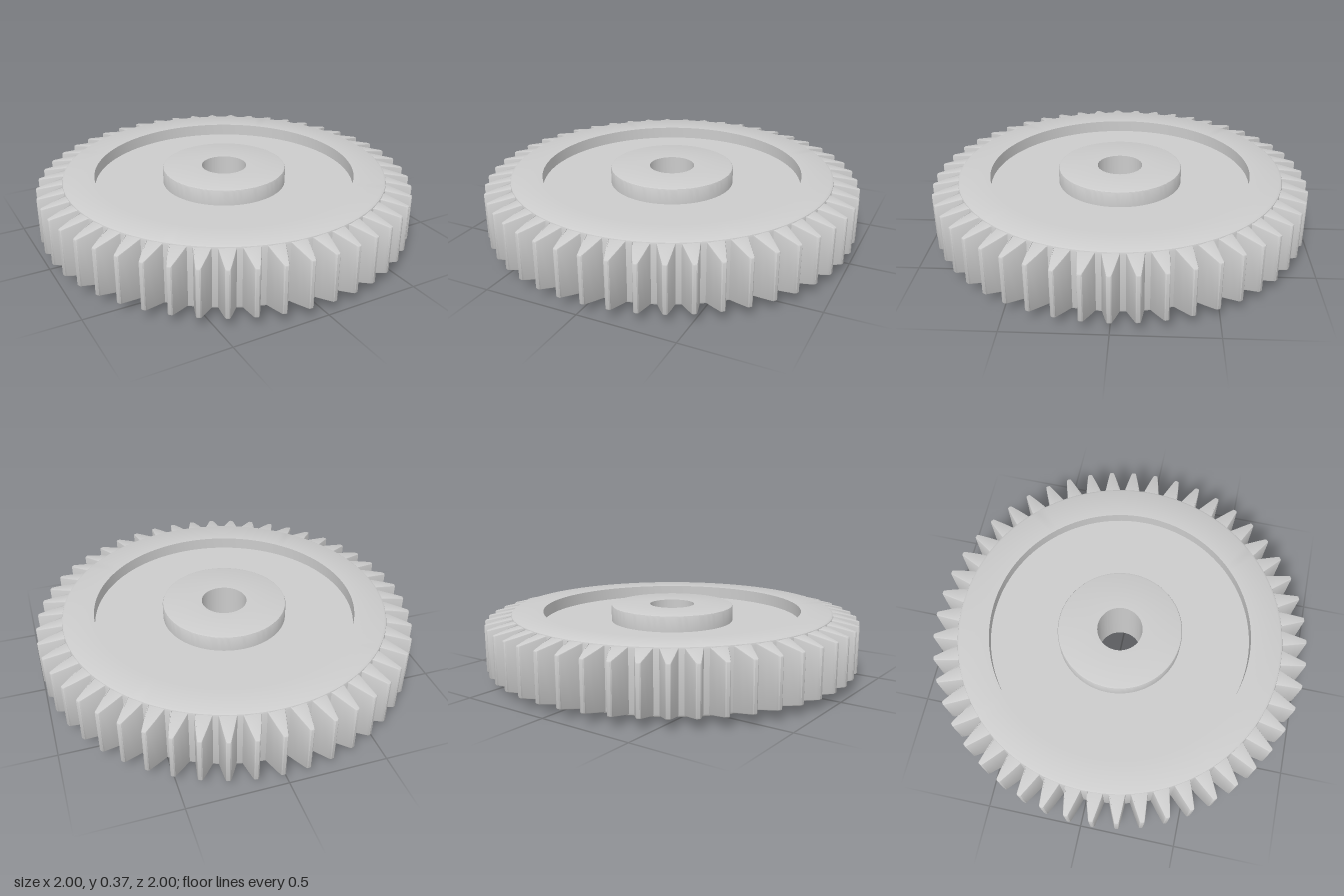
import * as THREE from 'three';
import { toCreasedNormals } from 'three/addons/utils/BufferGeometryUtils.js';

const MID = 0.185; // height of the gear's mirror plane
const TEETH = 49;

// Profile of the upper half as [radius, height above the mid plane], rim to bore
const HALF_PROFILE = [
  [0.865, 0.148], [0.861, 0.158], [0.85, 0.165],  // rounded rim edge
  [0.695, 0.165], [0.695, 0.1],                   // rim wall down to the web
  [0.33, 0.1], [0.33, 0.175], [0.327, 0.182], [0.32, 0.185], // hub
  [0.12, 0.185],                                  // bore edge
];

function createBody() {
  const upper = HALF_PROFILE.map(([r, h]) => new THREE.Vector2(r, MID + h));
  const lower = HALF_PROFILE.map(([r, h]) => new THREE.Vector2(r, MID - h)).reverse();
  const profile = [...lower, ...upper, lower[0].clone()];
  return toCreasedNormals(new THREE.LatheGeometry(profile, 128), 0.6);
}

// One tooth along +x: a tapered plan, extruded upwards, with ends sloping towards the tip
function createTooth() {
  const side = [[0.84, 0.046], [0.87, 0.041], [0.93, 0.028], [0.985, 0.015], [0.996, 0.012], [1.0, 0.007]];
  const outline = [
    ...side.map(([r, w]) => new THREE.Vector2(r, -w)),
    ...side.map(([r, w]) => new THREE.Vector2(r, w)).reverse(),
  ];
  const half = 0.155, bevel = 0.006;
  const geometry = new THREE.ExtrudeGeometry(new THREE.Shape(outline), {
    depth: 2 * (half - bevel), bevelThickness: bevel, bevelSize: bevel,
    bevelOffset: -bevel, bevelSegments: 2,
  });
  geometry.translate(0, 0, bevel - half);
  geometry.rotateX(-Math.PI / 2);

  const p = geometry.attributes.position;
  for (let i = 0; i < p.count; i++) {
    const t = THREE.MathUtils.clamp((p.getX(i) - 0.87) / 0.13, 0, 1);
    p.setY(i, MID + p.getY(i) * (1 - 0.2 * t));
  }
  return toCreasedNormals(geometry, 0.6);
}

export function createModel() {
  const material = new THREE.MeshStandardMaterial({ color: 0xcccccc });
  const gear = new THREE.Group();
  gear.name = 'gear';

  // Rim, recessed web and bored hub
  const body = new THREE.Mesh(createBody(), material);
  body.name = 'gearBody';
  gear.add(body);

  // Ring of teeth
  const teeth = new THREE.Group();
  teeth.name = 'teeth';
  const toothGeometry = createTooth();
  for (let i = 0; i < TEETH; i++) {
    const tooth = new THREE.Mesh(toothGeometry, material);
    tooth.name = 'tooth';
    tooth.rotation.y = (i / TEETH) * Math.PI * 2;
    teeth.add(tooth);
  }
  gear.add(teeth);
  return gear;
}
